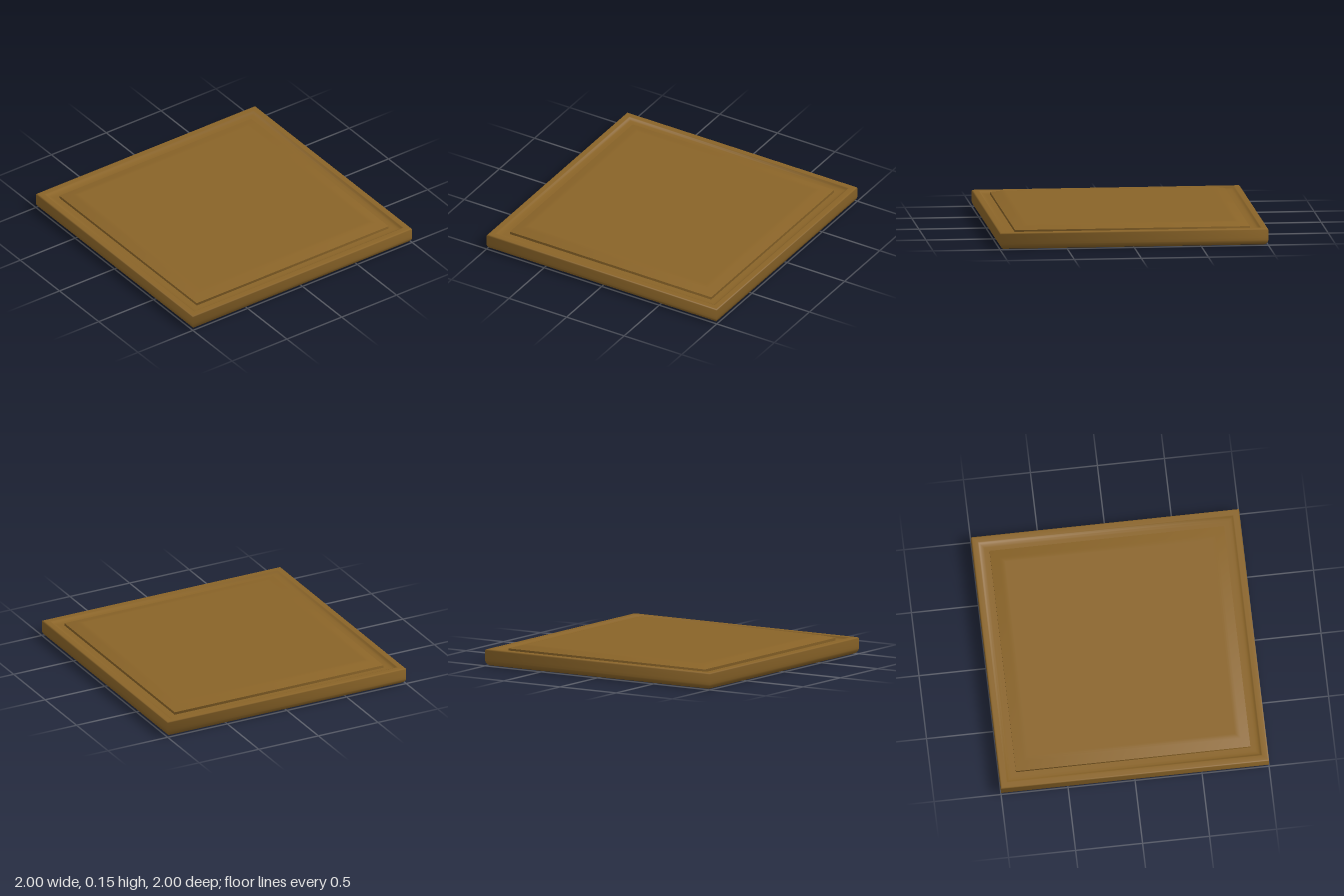
import * as THREE from 'three';

const material = new THREE.MeshStandardMaterial({ color: 0x8a6428 });

// Sweeps a moulding profile of [half width, height] around a square
function squareMoulding(name, profile) {
  const points = profile.map(([w, y]) => new THREE.Vector2(w * Math.SQRT2, y));
  const mesh = new THREE.Mesh(new THREE.LatheGeometry(points, 4, Math.PI / 4), material);
  mesh.name = name;
  return mesh;
}

export function createModel() {
  const group = new THREE.Group();
  group.name = 'raisedPanelTile';

  // Base slab with a rounded lower edge, flat rim and coved inner lip
  const lowerEdge = [];
  for (let i = 0; i <= 4; i++) {
    const a = (i / 4) * Math.PI / 2;
    lowerEdge.push([0.96 + 0.04 * Math.sin(a), 0.04 - 0.04 * Math.cos(a)]);
  }
  group.add(squareMoulding('frame', [
    [0, 0], [0.94, 0], ...lowerEdge,
    [1, 0.06], [1, 0.115], [0.997, 0.122], [0.99, 0.125],
    [0.955, 0.125], [0.947, 0.122], [0.943, 0.114],
    [0.93, 0.108], [0.91, 0.105], [0.87, 0.105],
  ]));

  // Raised centre panel: short upright edge, curved bevel and flat field
  group.add(squareMoulding('panelEdge', [[0.875, 0.1], [0.875, 0.125]]));
  group.add(squareMoulding('panel', [
    [0.875, 0.125], [0.845, 0.134], [0.81, 0.144], [0.795, 0.148],
    [0.78, 0.15], [0.77, 0.15], [0, 0.15],
  ]));

  return group;
}
